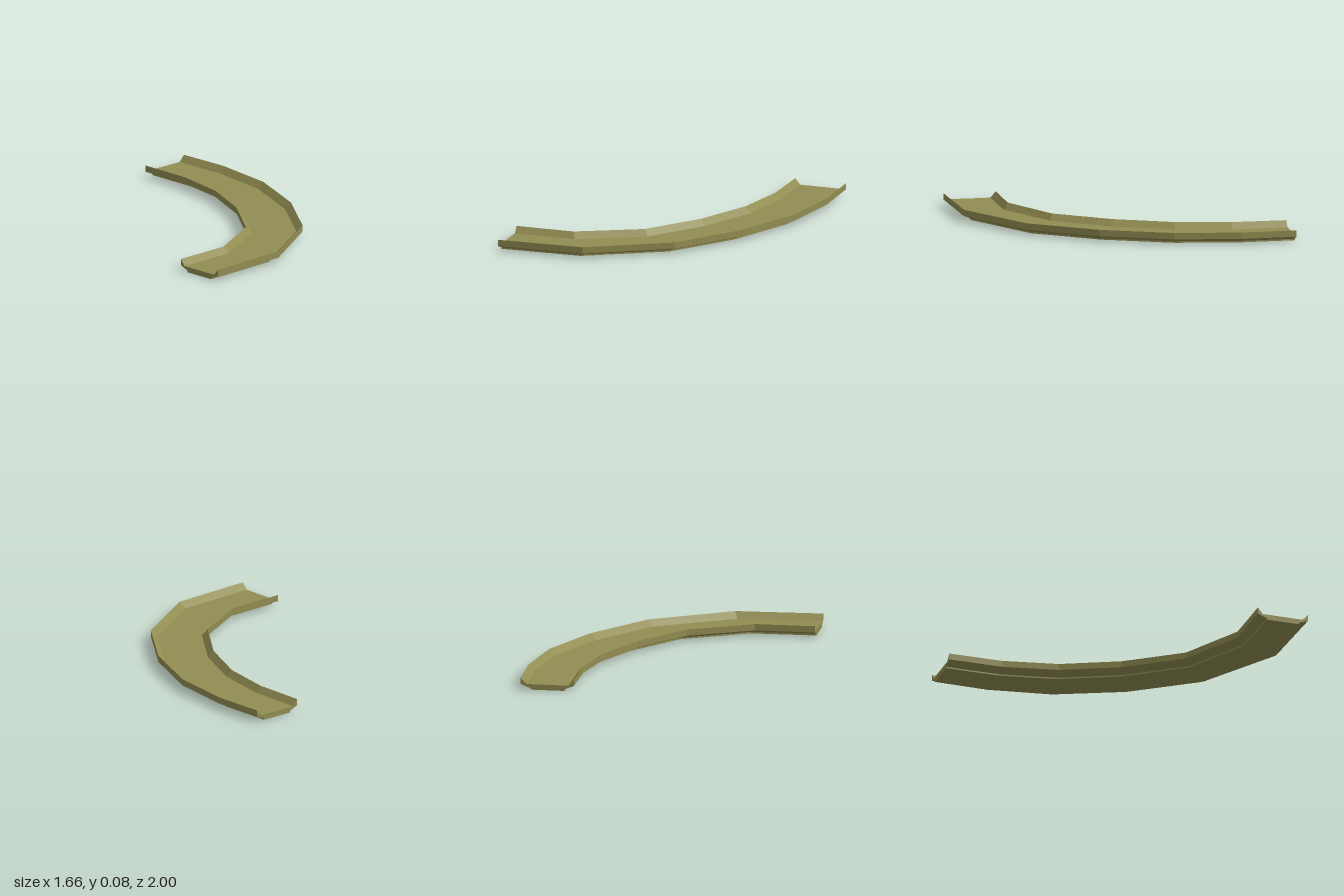
import * as THREE from 'three';

// Inner and outer edge of the curve at each station: [xIn, zIn, xOut, zOut]
const stations = [
  [0.475, -1, 0.822, -1],
  [0.472, -0.64, 0.828, -0.64],
  [0.4, -0.28, 0.762, -0.21],
  [0.23, 0.09, 0.566, 0.245],
  [-0.03, 0.44, 0.26, 0.665],
  [-0.44, 0.652, -0.26, 0.975],
  [-0.83, 0.657, -0.83, 1],
];

// Channel section, counterclockwise: [fraction across from inner edge, height]
const section = [
  [0.18, 0], [0.82, 0], [0.82, 0.01], [1, 0.035], [1, 0.077],
  [0.89, 0.036], [0.1, 0.036], [0, 0.077], [0, 0.035], [0.18, 0.01],
];

function sweptChannel() {
  const n = section.length;
  const last = stations.length - 1;
  const positions = [];
  const index = [];
  for (const [xi, zi, xo, zo] of stations) {
    for (const [t, y] of section) {
      positions.push(xi + (xo - xi) * t, y, zi + (zo - zi) * t);
    }
  }
  // Long faces between neighbouring stations
  for (let i = 0; i < last; i++) {
    for (let j = 0; j < n; j++) {
      const k = (j + 1) % n;
      const a = i * n + j, b = i * n + k, c = b + n, d = a + n;
      index.push(a, b, c, a, c, d);
    }
  }
  // End caps
  const contour = section.map(([t, y]) => new THREE.Vector2(t, y));
  for (const [a, b, c] of THREE.ShapeUtils.triangulateShape(contour, [])) {
    index.push(a, c, b);
    index.push(last * n + a, last * n + b, last * n + c);
  }
  const geometry = new THREE.BufferGeometry();
  geometry.setAttribute('position', new THREE.Float32BufferAttribute(positions, 3));
  geometry.setIndex(index);
  const flat = geometry.toNonIndexed();
  flat.computeVertexNormals();
  return flat;
}

export function createModel() {
  const group = new THREE.Group();
  group.name = 'curvedTrack';
  const material = new THREE.MeshStandardMaterial({ color: 0x928d52, flatShading: true });
  const channel = new THREE.Mesh(sweptChannel(), material);
  channel.name = 'curvedChannel';
  group.add(channel);
  return group;
}
